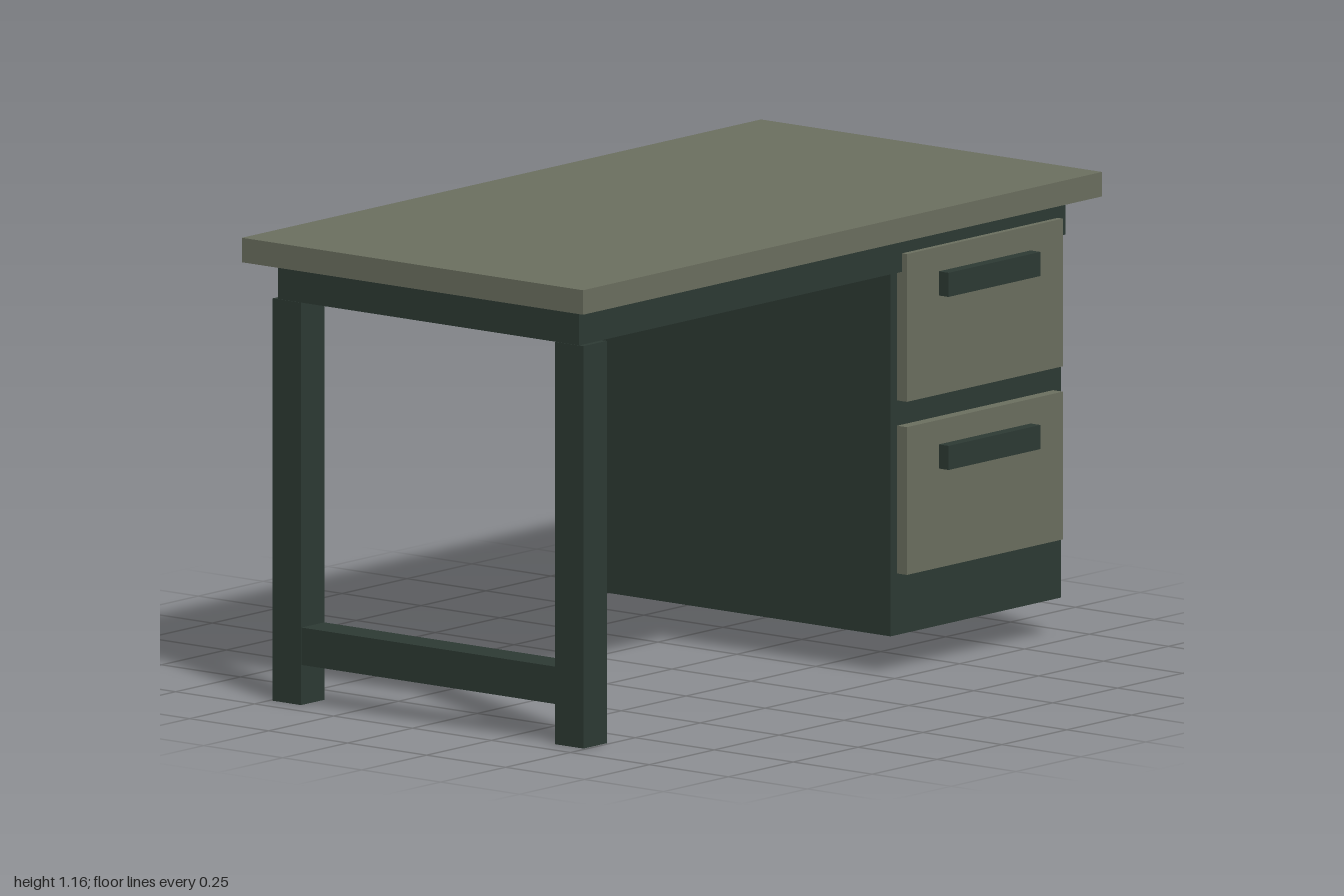
import * as THREE from 'three';

export function createModel() {
  const group = new THREE.Group();
  group.name = 'desk';

  const frameGreen = new THREE.MeshStandardMaterial({ color: 0x2d3a34 });
  frameGreen.name = 'dark green';
  const panelOlive = new THREE.MeshStandardMaterial({ color: 0x6c7060 });
  panelOlive.name = 'olive grey';

  // Box given by its lower and upper limits on each axis
  const box = (name, material, [x0, x1], [y0, y1], [z0, z1]) => {
    const mesh = new THREE.Mesh(new THREE.BoxGeometry(x1 - x0, y1 - y0, z1 - z0), material);
    mesh.position.set((x0 + x1) / 2, (y0 + y1) / 2, (z0 + z1) / 2);
    mesh.name = name;
    group.add(mesh);
  };

  // Top board and the apron under it
  box('tableTop', panelOlive, [-1, 1], [1.095, 1.156], [-0.54, 0.54]);
  box('apron', frameGreen, [-0.938, 0.936], [1.002, 1.095], [-0.476, 0.477]);

  // Drawer cabinet
  box('cabinet', frameGreen, [0.28, 0.936], [0.096, 1.002], [-0.476, 0.462]);

  // Drawer fronts with bar handles
  for (const [side, y] of [['lower', 0.249], ['upper', 0.68]]) {
    box(side + 'Drawer', panelOlive, [0.305, 0.906], [y, y + 0.368], [0.462, 0.493]);
    box(side + 'Handle', frameGreen, [0.428, 0.782], [y + 0.247, y + 0.307], [0.493, 0.524]);
  }

  // Legs joined by a low stretcher
  box('frontLeg', frameGreen, [-0.94, -0.85], [0, 1.002], [0.402, 0.492]);
  box('backLeg', frameGreen, [-0.94, -0.85], [0, 1.002], [-0.492, -0.402]);
  box('stretcher', frameGreen, [-0.939, -0.851], [0.1, 0.193], [-0.402, 0.402]);

  return group;
}
